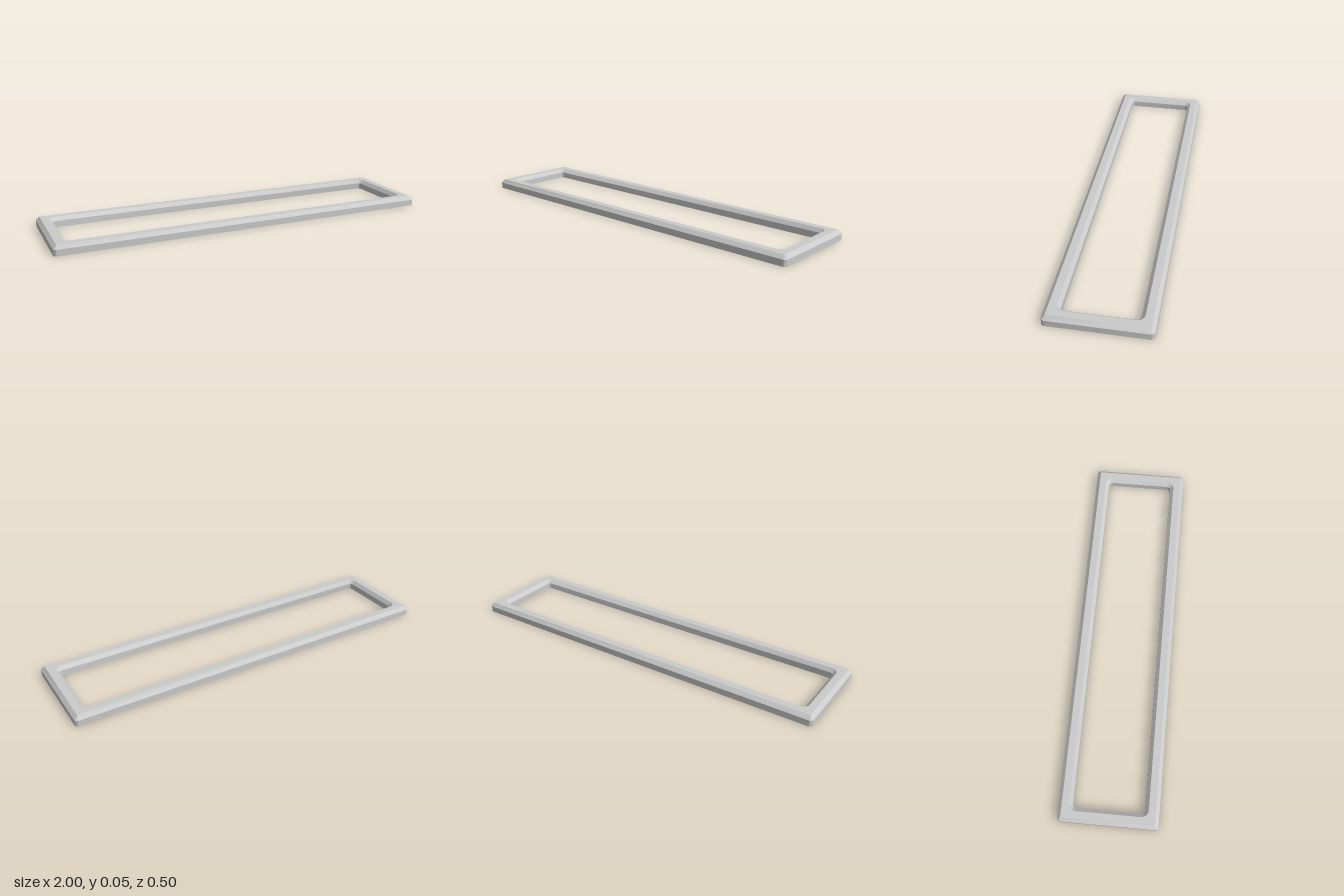
import * as THREE from 'three';
import { toCreasedNormals } from 'three/addons/utils/BufferGeometryUtils.js';

const ARC = 6; // segments per rounded corner

// One rounded-rectangle ring in the XZ plane
function ring({ x, z, r, y }) {
  const points = [];
  for (let corner = 0; corner < 4; corner++) {
    const sx = corner === 0 || corner === 3 ? 1 : -1;
    const sz = corner < 2 ? 1 : -1;
    for (let i = 0; i <= ARC; i++) {
      const a = (corner + i / ARC) * Math.PI / 2;
      points.push(new THREE.Vector3(
        sx * (x - r) + r * Math.cos(a), y, sz * (z - r) + r * Math.sin(a)));
    }
  }
  return points;
}

// Joins rings into a closed band, skipping collapsed triangles
function loftClosed(rings) {
  const positions = [];
  const addTriangle = (a, b, c) => {
    if (new THREE.Triangle(a, b, c).getArea() < 1e-8) return;
    for (const p of [a, b, c]) positions.push(p.x, p.y, p.z);
  };
  rings.forEach((lower, k) => {
    const upper = rings[(k + 1) % rings.length];
    for (let i = 0; i < lower.length; i++) {
      const j = (i + 1) % lower.length;
      addTriangle(lower[i], upper[i], lower[j]);
      addTriangle(upper[i], upper[j], lower[j]);
    }
  });
  const geometry = new THREE.BufferGeometry();
  geometry.setAttribute('position', new THREE.Float32BufferAttribute(positions, 3));
  return toCreasedNormals(geometry, Math.PI / 6);
}

export function createModel() {
  const group = new THREE.Group();
  group.name = 'rectangularFrame';

  const height = 0.05, bevel = 0.018, width = 0.072;
  const X = 1, Z = 0.25, shoulder = height - bevel;

  // Cross-section: outer wall, outer bevel, top, inner bevel, inner wall
  const sections = [
    { x: X, z: Z, r: bevel, y: 0 },
    { x: X, z: Z, r: bevel, y: shoulder },
    { x: X - bevel, z: Z - bevel, r: 0, y: height },
    { x: X - width + bevel, z: Z - width + bevel, r: 2 * bevel, y: height },
    { x: X - width, z: Z - width, r: bevel, y: shoulder },
    { x: X - width, z: Z - width, r: bevel, y: 0 },
  ];

  const frame = new THREE.Mesh(
    loftClosed(sections.map(ring)),
    new THREE.MeshStandardMaterial({ color: 0xcccccc }));
  frame.name = 'bevelledFrame';
  group.add(frame);
  return group;
}
